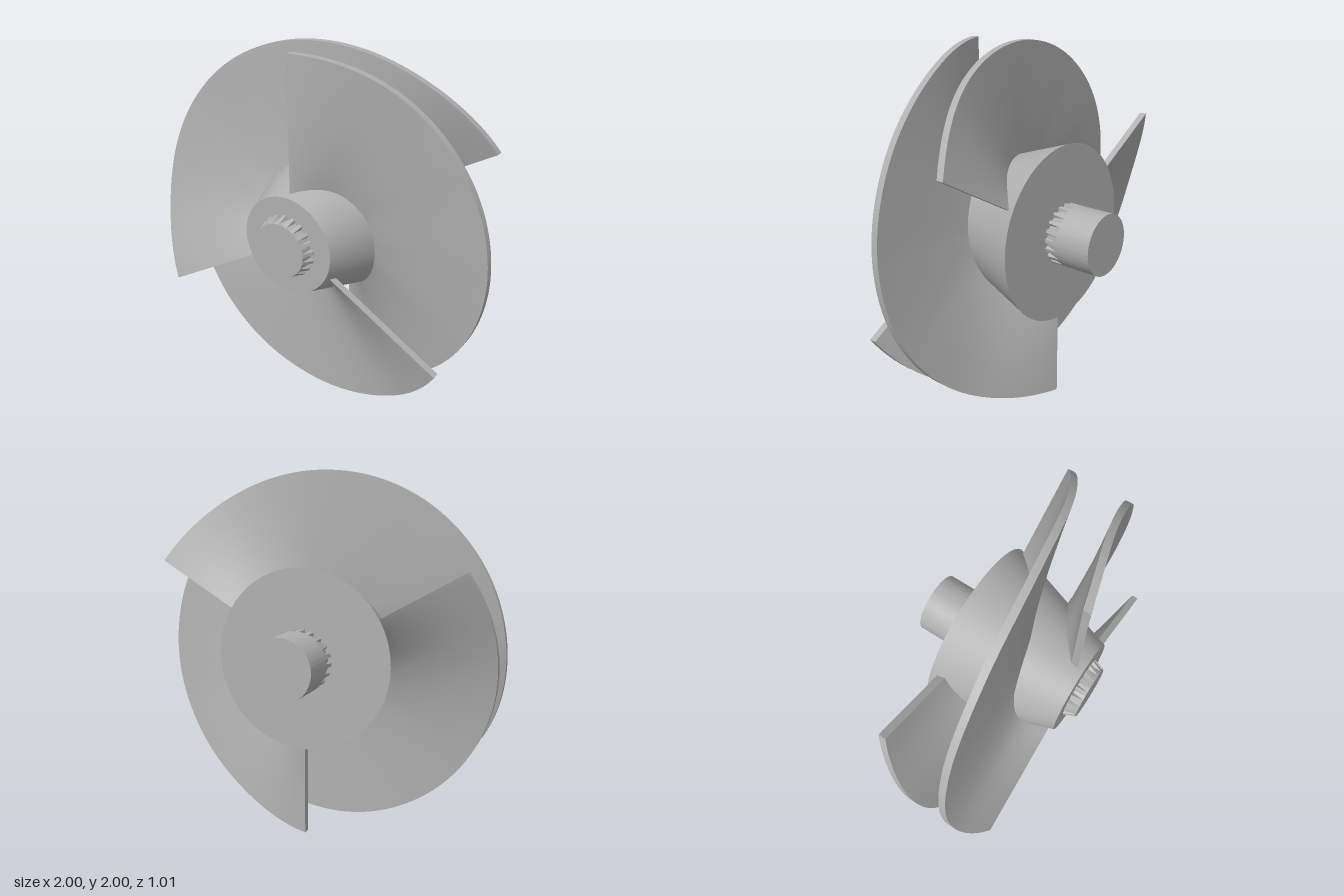
import * as THREE from 'three';

const steel = new THREE.MeshStandardMaterial({ color: 0xb0b0b0 });
steel.name = 'grey steel';

// Depth of a blade's front face at even steps along its half-turn sweep
const depths = [0.4, 0.265, 0.2, 0.163, 0.115, 0.02, -0.16];
const sweep = new THREE.CatmullRomCurve3(
  depths.map((z, i) => new THREE.Vector3(i, 0, z)), false, 'catmullrom', 0.5);

// Blade: a slab (x = sweep angle, y = radius, z = thickness) wound about the z axis
function bladeGeometry() {
  const inner = 0.24, outer = 1, thick = 0.04;
  const g = new THREE.BoxGeometry(Math.PI, outer - inner, thick, 96, 8, 1);
  const p = g.attributes.position;
  for (let i = 0; i < p.count; i++) {
    const a = p.getX(i) + Math.PI / 2;
    const r = p.getY(i) + (inner + outer) / 2;
    const front = sweep.getPoint(THREE.MathUtils.clamp(a / Math.PI, 0, 1)).z;
    p.setXYZ(i, r * Math.sin(a), r * Math.cos(a), front + p.getZ(i) - thick / 2);
  }
  g.computeVertexNormals();
  return g;
}

// Splined shaft: rings of [z, tooth radius, groove radius] joined into flat faces
function shaftGeometry() {
  const teeth = 20;
  const rings = [
    [0.5, 0.148, 0.148], [0.44, 0.173, 0.152], [-0.235, 0.17, 0.15],
    [-0.31, 0.17, 0.17], [-0.51, 0.17, 0.17],
  ];
  const steps = [[0, 0], [0.32, 0], [0.48, 1], [0.84, 1]]; // [part of pitch, is groove]
  const n = teeth * steps.length;
  const point = (ring, k) => {
    const [part, groove] = steps[k % steps.length];
    const a = ((Math.floor(k / steps.length) + part) / teeth) * Math.PI * 2;
    const r = groove ? ring[2] : ring[1];
    return [r * Math.cos(a), r * Math.sin(a), ring[0]];
  };
  const v = [];
  for (let k = 0; k < n; k++) {
    for (let j = 0; j < rings.length - 1; j++) {
      const a = point(rings[j], k), b = point(rings[j], k + 1);
      const c = point(rings[j + 1], k), d = point(rings[j + 1], k + 1);
      v.push(...a, ...c, ...b, ...b, ...c, ...d);
    }
    // End caps
    const f = rings[0], e = rings[rings.length - 1];
    v.push(0, 0, f[0], ...point(f, k), ...point(f, k + 1));
    v.push(0, 0, e[0], ...point(e, k + 1), ...point(e, k));
  }
  const g = new THREE.BufferGeometry();
  g.setAttribute('position', new THREE.Float32BufferAttribute(v, 3));
  g.computeVertexNormals();
  return g;
}

export function createModel() {
  const model = new THREE.Group();
  model.name = 'inducer';
  const add = (name, geometry) => {
    const mesh = new THREE.Mesh(geometry, steel);
    mesh.name = name;
    mesh.position.y = 1;
    model.add(mesh);
    return mesh;
  };

  // Tapered hub, narrow end to the front
  const hub = new THREE.CylinderGeometry(0.27, 0.495, 0.67, 96);
  hub.rotateX(Math.PI / 2).translate(0, 0, 0.1);
  add('hub', hub);

  add('shaft', shaftGeometry());

  // Three overlapping spiral blades
  const blade = bladeGeometry();
  for (let i = 0; i < 3; i++) {
    add(`blade${i + 1}`, blade).rotation.z = (i * Math.PI * 2) / 3;
  }
  return model;
}
